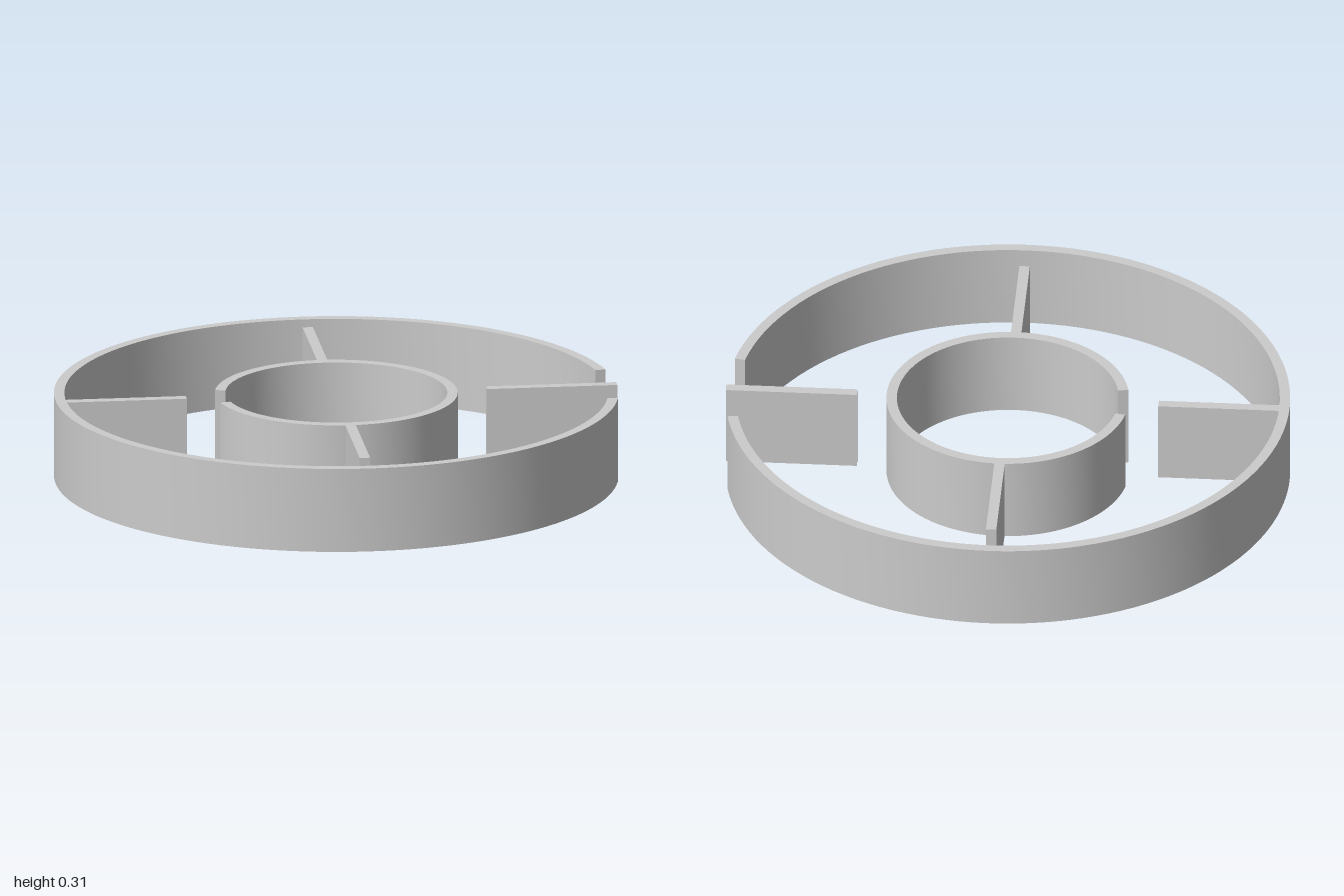
import * as THREE from 'three';
import { toCreasedNormals } from 'three/addons/utils/BufferGeometryUtils.js';

const HEIGHT = 0.305;
const WALL = 0.037;
const HALF_GAP = 0.19; // half opening angle of each ring

export function createModel() {
  const group = new THREE.Group();
  const material = new THREE.MeshStandardMaterial({ color: 0xcccccc });

  const add = (name, geometry) => {
    const mesh = new THREE.Mesh(geometry, material);
    mesh.name = name;
    group.add(mesh);
    return mesh;
  };

  // Upright ring with a gap facing +x
  const openRing = (name, radius) => {
    const shape = new THREE.Shape();
    shape.absarc(0, 0, radius, HALF_GAP, Math.PI * 2 - HALF_GAP, false);
    shape.absarc(0, 0, radius - WALL, Math.PI * 2 - HALF_GAP, HALF_GAP, true);
    shape.closePath();
    const geometry = new THREE.ExtrudeGeometry(shape, {
      depth: HEIGHT, bevelEnabled: false, curveSegments: 60,
    });
    geometry.rotateX(-Math.PI / 2);
    return add(name, toCreasedNormals(geometry, 0.5));
  };

  // Radial partition between two distances from the centre
  const partition = (name, from, to, angle) => {
    const bottom = 0.006;
    const geometry = new THREE.BoxGeometry(to - from, HEIGHT - bottom, WALL);
    geometry.translate((from + to) / 2, (HEIGHT + bottom) / 2, 0);
    geometry.rotateY(angle);
    return add(name, geometry);
  };

  // Rings with openings on opposite sides
  openRing('outerRing', 1);
  openRing('innerRing', 0.43).rotation.y = Math.PI;

  // Partitions: one in the outer opening, one on the outer ring, two on the inner ring
  partition('leftPartition', 0.535, 1, 0);
  partition('rightPartition', 0.535, 0.975, Math.PI);
  partition('backPartition', 0.415, 0.86, Math.PI / 2);
  partition('frontPartition', 0.415, 0.86, -Math.PI / 2);

  return group;
}
